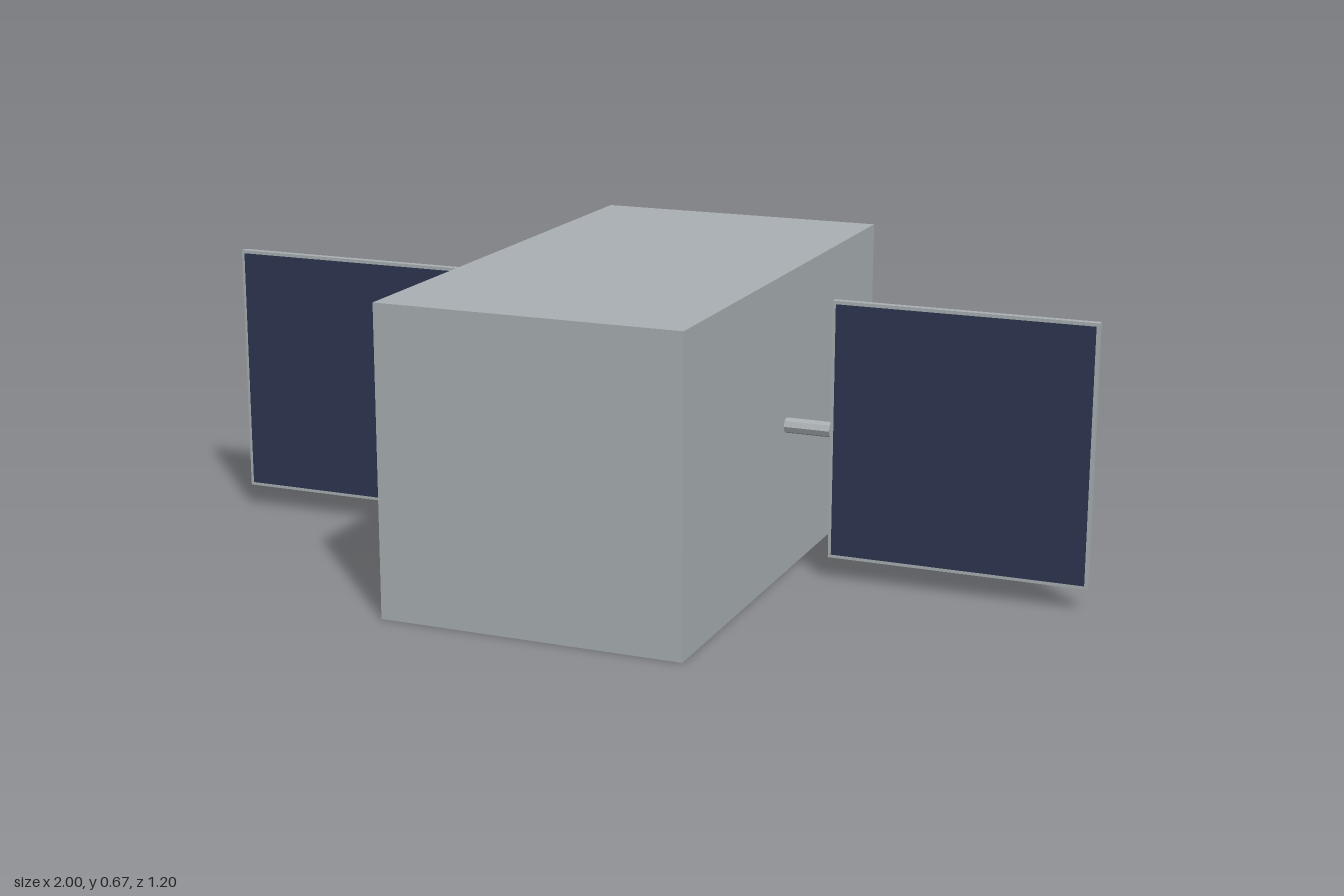
import * as THREE from 'three';

const hull = new THREE.MeshStandardMaterial({ name: 'hullGrey', color: 0xa9b0b3 });
const cells = new THREE.MeshStandardMaterial({ name: 'cellBlue', color: 0x2d3550 });
hull.flatShading = true;

const BODY = { w: 0.667, h: 0.667, d: 1.2 };
const MID = BODY.h / 2;
const PANEL = { size: 0.565, thick: 0.016, rim: 0.007 };
const INNER = 1 - PANEL.size; // inboard edge of each panel

function add(parent, name, geometry, material, x = 0, y = 0, z = 0) {
  const mesh = new THREE.Mesh(geometry, material);
  mesh.name = name;
  mesh.position.set(x, y, z);
  parent.add(mesh);
  return mesh;
}

// One wing: an eight-sided strut, a square panel and its thin cell face
function createWing(side, name) {
  const wing = new THREE.Group();
  wing.name = name;

  const start = BODY.w / 2;
  const length = INNER - start;
  const strut = new THREE.CylinderGeometry(0.017, 0.017, length, 8).rotateZ(Math.PI / 2);
  add(wing, 'strut', strut, hull, side * (start + length / 2), MID, 0);

  const x = side * (INNER + PANEL.size / 2);
  add(wing, 'panelFrame', new THREE.BoxGeometry(PANEL.size, PANEL.size, PANEL.thick), hull, x, MID, 0);

  const face = PANEL.size - 2 * PANEL.rim;
  add(wing, 'solarCells', new THREE.PlaneGeometry(face, face), cells, x, MID, PANEL.thick / 2 + 0.001);
  return wing;
}

export function createModel() {
  const model = new THREE.Group();
  model.name = 'satellite';

  // Main box
  add(model, 'body', new THREE.BoxGeometry(BODY.w, BODY.h, BODY.d), hull, 0, MID, 0);

  // Wings on both sides
  model.add(createWing(1, 'leftWing'), createWing(-1, 'rightWing'));
  return model;
}
